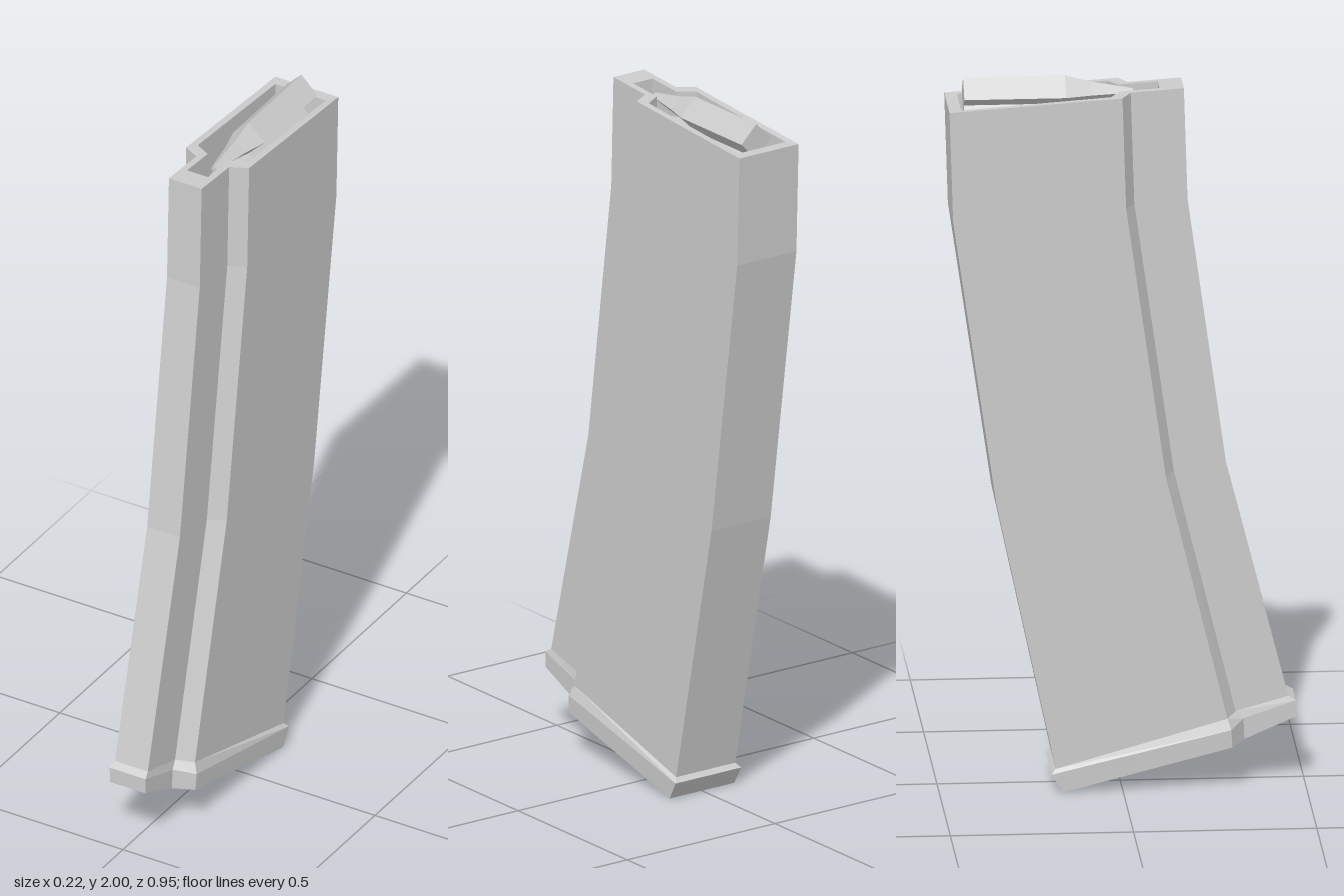
import * as THREE from 'three';

const material = new THREE.MeshStandardMaterial({ color: 0xcccccc, flatShading: true });

// Full outline from its +x half, listed back to front as [x, y, z]
function outline(half) {
  return [...half, ...half.slice().reverse().map(([x, y, z]) => [-x, y, z])];
}

// Stepped outline whose height and depth run between a front and a back point
function section([zf, yf], [zb, yb]) {
  return outline([[0.1, 1], [0.1, 0.266], [0.052, 0.226], [0.052, 0]].map(
    ([x, t]) => [x, yf + (yb - yf) * t, zf + (zb - zf) * t]));
}

// Skin a list of outlines, optionally closing the first and last
function loft(name, rings, capStart, capEnd) {
  const pos = [];
  const quad = (a, b, c, d) => pos.push(...a, ...b, ...c, ...a, ...c, ...d);
  for (let r = 0; r < rings.length - 1; r++) {
    const lo = rings[r], hi = rings[r + 1], n = lo.length;
    for (let i = 0; i < n; i++) {
      const j = (i + 1) % n;
      quad(lo[i], hi[i], hi[j], lo[j]);
    }
  }
  const cap = (p, flip) => {
    for (let i = 0; i < p.length / 2 - 1; i++) {
      const q = [p[i], p[i + 1], p[p.length - 2 - i], p[p.length - 1 - i]];
      quad(...(flip ? q.reverse() : q));
    }
  };
  if (capStart) cap(rings[0], false);
  if (capEnd) cap(rings[rings.length - 1], true);
  const geometry = new THREE.BufferGeometry();
  geometry.setAttribute('position', new THREE.Float32BufferAttribute(pos, 3));
  geometry.computeVertexNormals();
  const mesh = new THREE.Mesh(geometry, material);
  mesh.name = name;
  return mesh;
}

// Four-sided cartridge pointing forward, with an edge on top
function cartridge(x, y) {
  const group = new THREE.Group();
  group.name = 'cartridge';
  const stations = [[-0.428, 0.05], [-0.15, 0.05], [-0.08, 0.031], [0.035, 0.01]];
  for (let i = 0; i < stations.length - 1; i++) {
    const [z0, r0] = stations[i], [z1, r1] = stations[i + 1];
    const geometry = new THREE.CylinderGeometry(r1, r0, z1 - z0, 4);
    geometry.rotateX(Math.PI / 2);
    geometry.translate(0, 0, (z0 + z1) / 2);
    const mesh = new THREE.Mesh(geometry, material);
    mesh.name = ['case', 'shoulder', 'tip'][i];
    group.add(mesh);
  }
  group.position.set(x, y, 0);
  return group;
}

export function createModel() {
  const model = new THREE.Group();
  model.name = 'curvedMagazine';

  // Curved shell, rolling over the rim into the open cavity
  const foot = section([0.455, 0.245], [-0.183, 0.065]);
  const mouth = (drop) => outline([
    [0.08, 1.933 - drop, -0.44], [0.08, 1.962 - drop, -0.03],
    [0.033, 1.964 - drop, -0.003], [0.033, 1.971 - drop, 0.105],
  ]);
  model.add(loft('shell', [
    foot,
    section([0.285, 0.91], [-0.345, 0.82]),
    section([0.18, 1.66], [-0.463, 1.62]),
    section([0.17, 1.975], [-0.473, 1.932]),
    mouth(0),
    mouth(0.25),
  ], false, true));

  // Flared base plate with a bent underside
  model.add(loft('basePlate', [
    outline([[0.109, 0, -0.165], [0.109, 0.118, 0.298], [0.056, 0.126, 0.335], [0.056, 0.187, 0.475]]),
    outline([[0.111, 0.052, -0.195], [0.111, 0.168, 0.295], [0.057, 0.185, 0.332], [0.057, 0.233, 0.475]]),
    foot,
  ], true, false));

  // Staggered cartridges in the mouth
  model.add(cartridge(0.01, 1.95), cartridge(-0.018, 1.88));
  return model;
}
